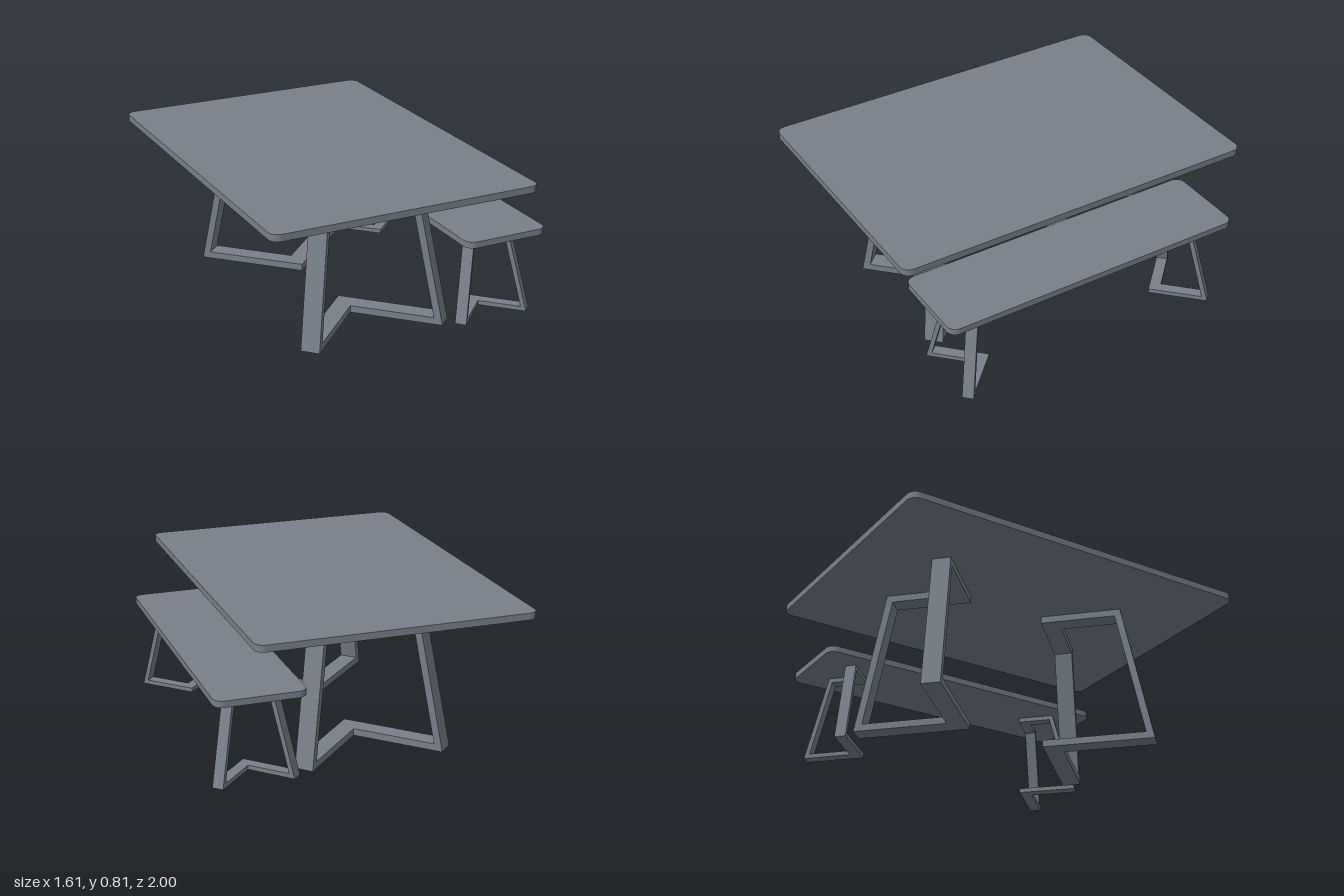
import * as THREE from 'three';

const material = new THREE.MeshStandardMaterial({ color: 0x7a8088 });

// Flat slab with rounded corners in plan
function slab(name, width, length, thickness, radius) {
  const x = width / 2, z = length / 2, s = new THREE.Shape();
  s.absarc(x - radius, z - radius, radius, 0, Math.PI / 2);
  s.absarc(-x + radius, z - radius, radius, Math.PI / 2, Math.PI);
  s.absarc(-x + radius, -z + radius, radius, Math.PI, Math.PI * 1.5);
  s.absarc(x - radius, -z + radius, radius, Math.PI * 1.5, Math.PI * 2);
  s.closePath();
  const g = new THREE.ExtrudeGeometry(s, { depth: thickness, bevelEnabled: false, curveSegments: 8 });
  g.rotateX(-Math.PI / 2);
  const mesh = new THREE.Mesh(g, material);
  mesh.name = name;
  return mesh;
}

// One arm of a V-shaped leg: floor rail, leaning post and top rail, mitred where the arms meet
function legArm(side, { height, bottom, top, bar, width }) {
  const lean = (top - bottom) / height;
  const inset = bar * Math.hypot(1, lean);
  const inner = y => bottom + lean * y - inset;
  const outline = [
    [0, 0], [bottom, 0], [top, height], [0, height],
    [0, height - bar], [inner(height - bar), height - bar], [inner(bar), bar], [0, bar],
  ].map(p => new THREE.Vector2(...p));
  const g = new THREE.ExtrudeGeometry(new THREE.Shape(outline), { depth: width, bevelEnabled: false });
  g.translate(0, 0, -width / 2);
  const p = g.attributes.position;
  for (let i = 0; i < p.count; i++) {
    if (Math.abs(p.getX(i)) < 1e-6) p.setX(i, side * p.getZ(i));
  }
  g.computeVertexNormals();
  g.rotateY(side > 0 ? -Math.PI / 4 : -Math.PI * 0.75);
  const mesh = new THREE.Mesh(g, material);
  mesh.name = side > 0 ? 'leftLegArm' : 'rightLegArm';
  return mesh;
}

// Top on two V-shaped legs whose points face each other
function furniture(name, slabName, top, leg) {
  const group = new THREE.Group();
  group.name = name;
  const board = slab(slabName, top.width, top.length, top.thickness, top.radius);
  board.position.y = leg.height;
  group.add(board);
  for (const end of [1, -1]) {
    const frame = new THREE.Group();
    frame.name = end > 0 ? 'frontLeg' : 'backLeg';
    for (const side of [1, -1]) frame.add(legArm(side, leg));
    frame.position.z = end * leg.z;
    if (end < 0) frame.rotation.y = Math.PI;
    group.add(frame);
  }
  return group;
}

export function createModel() {
  const model = new THREE.Group();
  model.name = 'tableAndBench';

  const table = furniture('table', 'tableTop',
    { width: 1.449, length: 2, thickness: 0.036, radius: 0.05 },
    { height: 0.777, bottom: 0.552, top: 0.392, bar: 0.038, width: 0.1, z: 0.298 });
  table.position.x = -0.083;

  const bench = furniture('bench', 'benchSeat',
    { width: 0.47, length: 1.7, thickness: 0.034, radius: 0.05 },
    { height: 0.465, bottom: 0.291, top: 0.169, bar: 0.024, width: 0.06, z: 0.548 });
  bench.position.x = 0.569;

  model.add(table, bench);
  return model;
}
